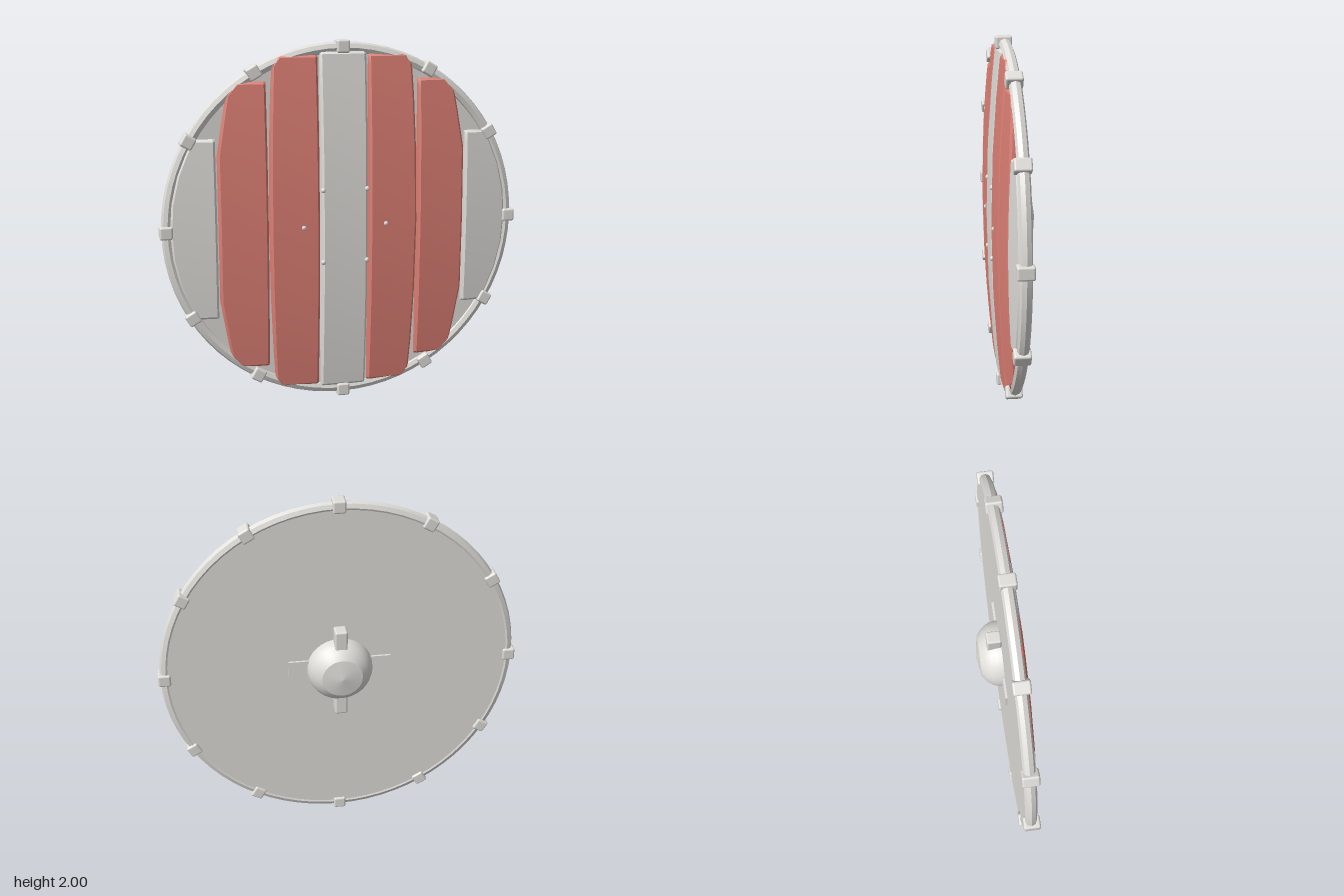
import * as THREE from 'three';
import { toCreasedNormals } from 'three/addons/utils/BufferGeometryUtils.js';
import { RoundedBoxGeometry } from 'three/addons/geometries/RoundedBoxGeometry.js';

const grey = new THREE.MeshStandardMaterial({ color: 0xe0deda });
grey.name = 'pale grey';
const red = new THREE.MeshStandardMaterial({ color: 0xde8075 });
red.name = 'faded red';

const CY = 1; // height of the shield's centre

// Height of the gently domed front
const dome = (x, y) => 0.125 - 0.06 * (x * x + y * y);

// Plank lofted from rows of [y, innerX, outerX], relative to the centre
function plankGeometry(rows) {
  const b = 0.012, back = 0.03, pos = [], idx = [], n = 6;
  rows.forEach(([y, x0, x1], r) => {
    const drop = r === 0 || r === rows.length - 1 ? b : 0; // bevelled ends
    const a = x0 + b, c = x1 - b;
    pos.push(
      x0, y, back, x1, y, back,
      x1, y, dome(x1, y) - b - drop / 2, c, y, dome(c, y) - drop,
      a, y, dome(a, y) - drop, x0, y, dome(x0, y) - b - drop / 2);
  });
  for (let r = 0; r < rows.length - 1; r++) {
    for (let i = 0; i < n; i++) {
      const p = r * n + i, q = r * n + (i + 1) % n;
      idx.push(p, q + n, q, p, p + n, q + n);
    }
  }
  const e = (rows.length - 1) * n;
  for (let i = 1; i < n - 1; i++) {
    idx.push(0, i, i + 1, e, e + i + 1, e + i);
  }
  const g = new THREE.BufferGeometry();
  g.setAttribute('position', new THREE.Float32BufferAttribute(pos, 3));
  g.setIndex(idx);
  return toCreasedNormals(g, 0.4);
}

// Full plank from the outer edge of its upper half, [y, outerX] from middle to top
function plankRows(inner, upper) {
  const top = upper.map(([y, x]) => [y, inner, x]);
  const bottom = top.slice(1).reverse().map(([y, a, x]) => [-y, a, x]);
  return [...bottom, ...top];
}

// Mirror rows to the other side
const flip = rows => rows.map(([y, a, b]) => [y, -b, -a]);

export function createModel() {
  const shield = new THREE.Group();
  shield.name = 'roundShield';
  const add = (name, geometry, material, x = 0, y = 0, z = 0) => {
    const m = new THREE.Mesh(geometry, material);
    m.name = name;
    m.position.set(x, CY + y, z);
    shield.add(m);
    return m;
  };

  // Backing board
  const board = new THREE.CylinderGeometry(0.95, 0.95, 0.042, 64);
  board.rotateX(Math.PI / 2);
  add('backingBoard', board, grey, 0, 0, 0.029);

  // Planks
  const centre = [[0, 0.128], [0.4, 0.128], [0.75, 0.128], [0.925, 0.128], [0.94, 0.128]];
  add('centrePlank', plankGeometry(plankRows(-0.128, centre)), grey);
  const planks = [
    ['innerPlank', red, 0.14, [[0, 0.41], [0.4, 0.405], [0.7, 0.395], [0.87, 0.385], [0.91, 0.355], [0.922, 0.335]]],
    ['middlePlank', red, 0.42, [[0, 0.685], [0.4, 0.685], [0.6, 0.652], [0.72, 0.63], [0.775, 0.58], [0.787, 0.56]]],
    ['outerPlank', grey, 0.695, [[0, 0.945], [0.15, 0.935], [0.3, 0.9], [0.42, 0.85], [0.48, 0.82], [0.492, 0.805]]],
  ];
  for (const [name, mat, inner, upper] of planks) {
    const rows = plankRows(inner, upper);
    add(name + 'Left', plankGeometry(rows), mat);
    add(name + 'Right', plankGeometry(flip(rows)), mat);
  }

  // Eight-sided metal rim
  const rim = toCreasedNormals(new THREE.TorusGeometry(0.957, 0.032, 8, 72), 0.5);
  add('rim', rim, grey, 0, 0, 0.036);

  // Rim clips
  const clip = new RoundedBoxGeometry(0.07, 0.07, 0.09, 2, 0.011);
  for (let i = 0; i < 12; i++) {
    const t = i * Math.PI / 6;
    add('rimClip', clip, grey, 0.965 * Math.cos(t), 0.965 * Math.sin(t), 0.04).rotation.z = t;
  }

  // Rear boss: rounded wall with a shallow cap
  const wall = [[0.112, 0.112], [0.146, 0.086], [0.169, 0.055], [0.181, 0.022], [0.184, -0.01]];
  const cap = [[0, 0.13], [0.112, 0.112]];
  const lathe = pts => {
    const g = new THREE.LatheGeometry(pts.map(p => new THREE.Vector2(...p)).reverse(), 32);
    return g.rotateX(-Math.PI / 2);
  };
  add('bossWall', lathe(wall), grey);
  add('bossCap', lathe(cap), grey);

  // Boss brackets
  add('bossBlock', new RoundedBoxGeometry(0.07, 0.53, 0.08, 2, 0.011), grey, 0, 0, -0.029);
  add('bossStrap', new THREE.BoxGeometry(0.57, 0.12, 0.015), grey, 0, 0, 0.003);

  // Rivets sunk into the front
  const rivet = new THREE.SphereGeometry(0.014, 10, 8);
  for (const s of [-1, 1]) {
    for (const y of [-0.2, 0.2]) add('rivet', rivet, grey, s * 0.122, y, dome(0.122, y) - 0.006);
    add('rivet', rivet, grey, s * 0.23, 0, dome(0.23, 0) - 0.006);
  }
  return shield;
}
